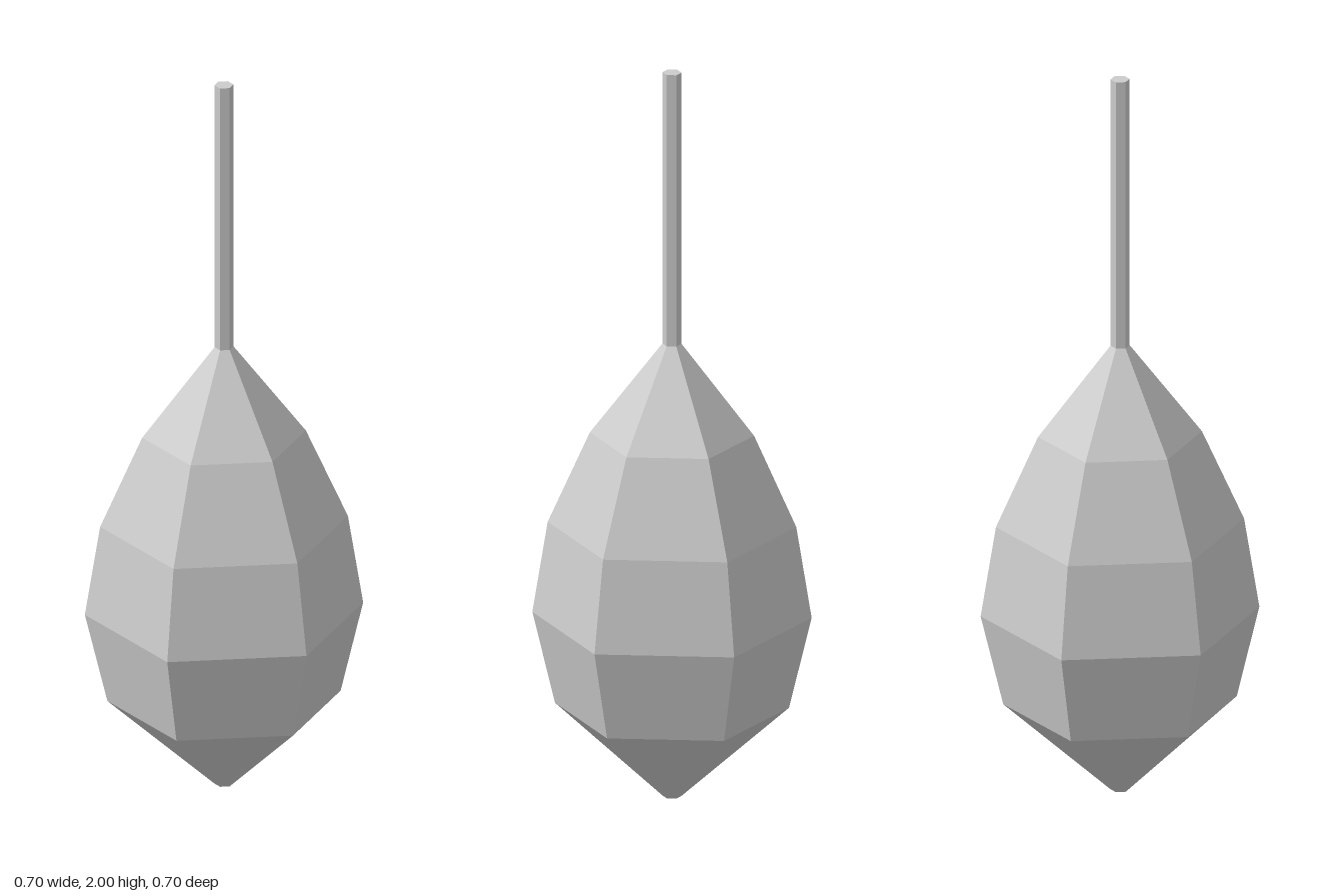
import * as THREE from 'three';

const SIDES = 6;
const TURN = Math.PI / 4; // corners sit 15 degrees off the axes

export function createModel() {
  const group = new THREE.Group();
  const grey = new THREE.MeshStandardMaterial({ color: 0xcccccc, flatShading: true });
  grey.name = 'light grey';

  // Six-sided turned part from [radius, height] pairs, bottom to top
  const turned = (name, profile) => {
    const points = profile.map(([r, y]) => new THREE.Vector2(r, y));
    const mesh = new THREE.Mesh(new THREE.LatheGeometry(points, SIDES, TURN), grey);
    mesh.name = name;
    group.add(mesh);
  };

  // Faceted bulb, closed by a small flat base
  turned('bulb', [
    [0, 0], [0.025, 0], [0.305, 0.25], [0.364, 0.5],
    [0.324, 0.75], [0.214, 1], [0.025, 1.25],
  ]);

  // Thin stem with a flat top
  turned('stem', [[0.025, 1.25], [0.025, 2], [0, 2]]);

  return group;
}
